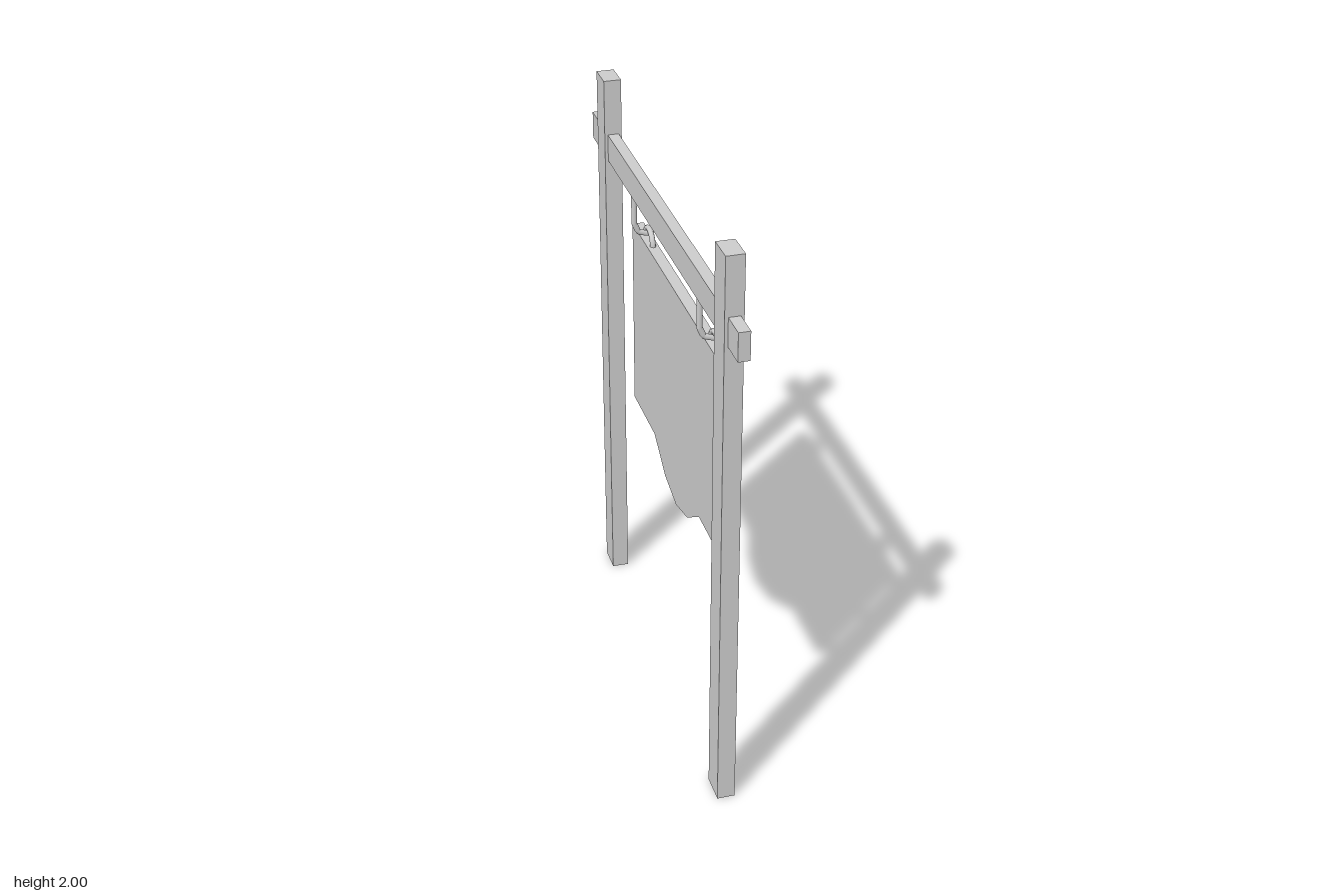
import * as THREE from 'three';

const wood = new THREE.MeshStandardMaterial({ color: 0xcccccc, flatShading: true });
const metal = new THREE.MeshStandardMaterial({ color: 0xcccccc });

function add(parent, name, geometry, material, x = 0, y = 0, z = 0) {
  const mesh = new THREE.Mesh(geometry, material);
  mesh.name = name;
  mesh.position.set(x, y, z);
  parent.add(mesh);
  return mesh;
}

// Plaque outline with a pointed, stepped lower edge; mirrored about its middle
function plaqueOutline(halfWidth, top, bottom, steps) {
  const half = [[halfWidth, top], [halfWidth, bottom], ...steps];
  const mirrored = half.slice(0, -1).reverse().map(([u, v]) => [-u, v]);
  return [...half, ...mirrored].map(([u, v]) => new THREE.Vector2(u, v));
}

// Extrude an outline so that its depth runs along +x
function extrudeAlongX(shape, depth) {
  return new THREE.ExtrudeGeometry(shape, { depth, bevelEnabled: false }).rotateY(Math.PI / 2);
}

// Shaft dropping from the beam into an open loop
function hookGeometry() {
  const r = 0.042, cx = 0.012, cy = 1.57;
  const path = new THREE.CurvePath();
  const points = [new THREE.Vector3(cx - r, 1.72, 0)];
  for (let i = 0; i <= 6; i++) {
    const a = Math.PI + (i / 6) * Math.PI * 1.6;
    points.push(new THREE.Vector3(cx + r * Math.cos(a), cy + r * Math.sin(a), 0));
  }
  for (let i = 1; i < points.length; i++) path.add(new THREE.LineCurve3(points[i - 1], points[i]));
  return new THREE.TubeGeometry(path, 48, 0.01, 8);
}

export function createModel() {
  const model = new THREE.Group();
  model.name = 'hangingSign';

  // Two posts, each with a bolt through the crossbeam joint
  for (const [side, z, boltZ] of [['front', 0.705, 0.708], ['back', -0.683, -0.686]]) {
    add(model, side + 'Post', new THREE.BoxGeometry(0.06, 2, 0.1), wood, -0.041, 1, z);
    add(model, side + 'Bolt', new THREE.SphereGeometry(0.016, 16, 10), metal, -0.014, 1.752, boltZ);
  }
  add(model, 'crossbeam', new THREE.BoxGeometry(0.038, 0.096, 1.7), wood, -0.041, 1.757, 0);

  // Board: a raised frame around a recessed panel
  const outer = plaqueOutline(0.55, 1.5, 0.803, [[0.275, 0.803], [0.137, 0.711], [0, 0.678]]);
  const inner = plaqueOutline(0.48, 1.412, 0.89, [[0.235, 0.89], [0.12, 0.798], [0, 0.767]]);
  const frame = new THREE.Shape(outer);
  frame.holes.push(new THREE.Path(inner));
  add(model, 'boardFrame', extrudeAlongX(frame, 0.04), wood, 0.002);
  add(model, 'boardPanel', extrudeAlongX(new THREE.Shape(inner), 0.024), wood, 0.002);

  // Hooks under the beam and rings set into the top of the board
  for (const [side, z] of [['front', 0.372], ['back', -0.404]]) {
    add(model, side + 'Hook', hookGeometry(), metal, 0, 0, z);
    const ring = new THREE.TorusGeometry(0.05, 0.01, 8, 20).rotateY(Math.PI / 2);
    add(model, side + 'Ring', ring, metal, 0.022, 1.495, z);
  }
  return model;
}
